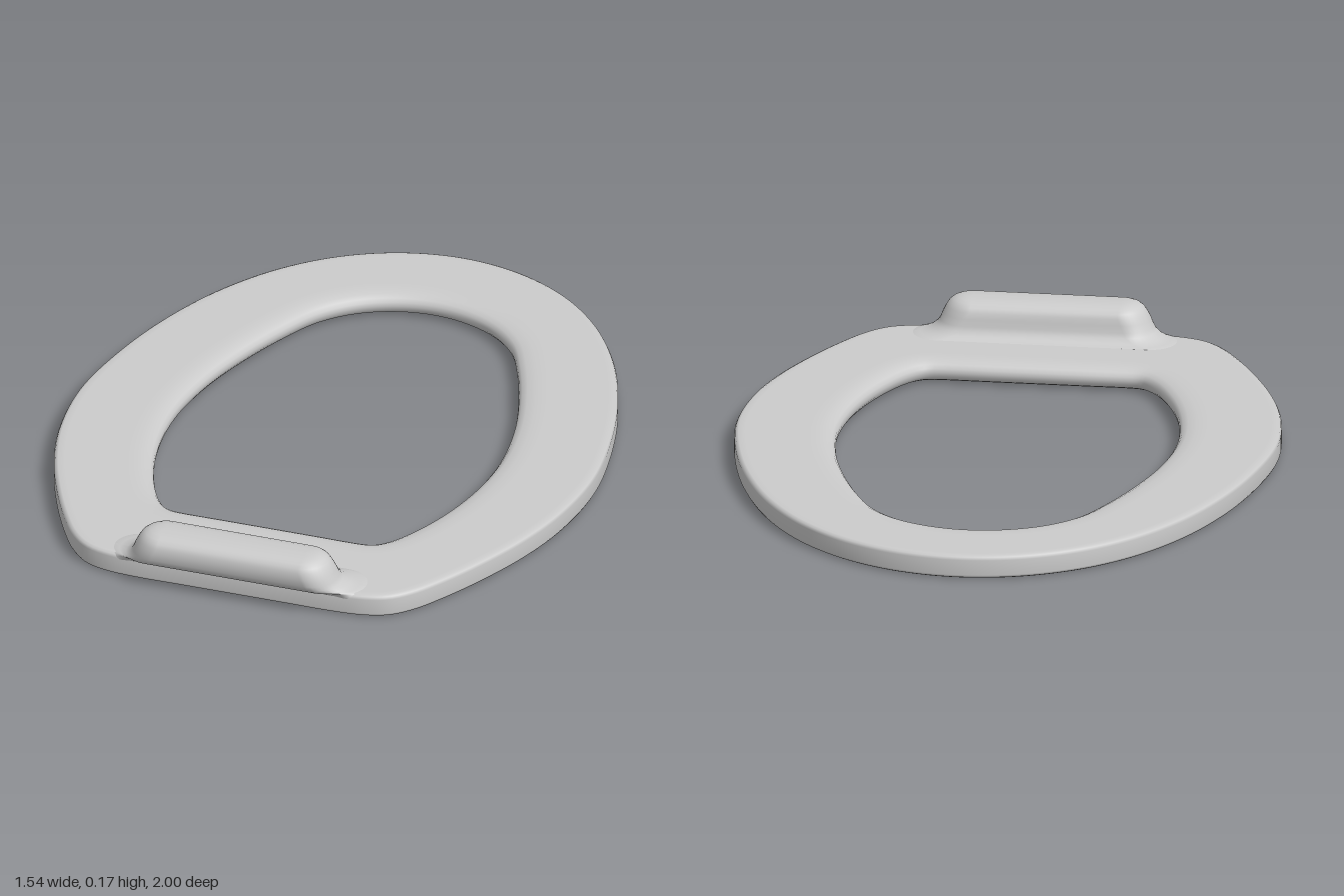
import * as THREE from 'three';

const N = 288;

// Closed smooth outline in the x/z plane from its +x half (back to front)
function outline(half) {
  const mirror = half.slice(1, -1).reverse().map(([x, z]) => [-x, z]);
  const pts = [...half, ...mirror].map(([x, z]) => new THREE.Vector3(x, 0, z));
  const curve = new THREE.CatmullRomCurve3(pts, true, 'centripetal');
  curve.arcLengthDivisions = 1000;
  return Array.from({ length: N }, (_, i) => {
    const p = curve.getPointAt(i / N), t = curve.getTangentAt(i / N);
    return { x: p.x, z: p.z, nx: t.z, nz: -t.x };
  });
}

// Skin a list of equal-length loops; optionally join the last loop to the first
function skin(loops, wrap) {
  const n = loops[0].length, rows = loops.length, index = [];
  for (let j = 0; j < (wrap ? rows : rows - 1); j++) {
    for (let i = 0; i < n; i++) {
      const k = (i + 1) % n, up = ((j + 1) % rows) * n, lo = j * n;
      index.push(lo + i, up + i, lo + k, lo + k, up + i, up + k);
    }
  }
  const geo = new THREE.BufferGeometry();
  geo.setAttribute('position', new THREE.Float32BufferAttribute(loops.flat(2), 3));
  geo.setIndex(index);
  geo.computeVertexNormals();
  return geo;
}

// Rounded rectangle loop at height y, half width w, from z0 to z1
function roundedLoop(y, w, z0, z1, r) {
  const loop = [], seg = 10, zc = (z0 + z1) / 2, d = (z1 - z0) / 2;
  const rr = Math.min(r, d);
  for (let c = 0; c < 4; c++) {
    const sx = c < 2 ? 1 : -1, sz = c === 0 || c === 3 ? -1 : 1;
    for (let i = 0; i <= seg; i++) {
      const a = -Math.PI / 2 + (c + i / seg) * Math.PI / 2;
      loop.push([sx * (w - rr) + rr * Math.cos(a), y, zc + sz * (d - rr) + rr * Math.sin(a)]);
    }
  }
  return loop;
}

export function createModel() {
  const group = new THREE.Group();
  const material = new THREE.MeshStandardMaterial({ color: 0xcccccc });
  const add = (name, geo) => {
    const mesh = new THREE.Mesh(geo, material);
    mesh.name = name;
    group.add(mesh);
  };

  const outer = outline([
    [0, -1], [0.17, -0.973], [0.33, -0.895], [0.47, -0.77], [0.59, -0.595], [0.68, -0.385],
    [0.74, -0.16], [0.77, 0.07], [0.752, 0.29], [0.705, 0.47], [0.635, 0.64], [0.565, 0.775],
    [0.51, 0.86], [0.455, 0.912], [0.39, 0.936], [0.3, 0.945], [0.15, 0.945], [0, 0.945],
  ]);
  const inner = outline([
    [0, -0.735], [0.1, -0.72], [0.2, -0.673], [0.285, -0.59], [0.345, -0.475], [0.405, -0.32],
    [0.455, -0.14], [0.48, 0.06], [0.468, 0.24], [0.425, 0.415], [0.36, 0.56], [0.32, 0.61],
    [0.3, 0.622], [0.27, 0.626], [0.14, 0.626], [0, 0.626],
  ]);

  // Seat ring: edge profiles as [inset from outline, height]
  const outerEdge = [[0.03, 0], [0.012, 0], [0.004, 0.004], [0, 0.011], [0, 0.055],
    [0.004, 0.063], [0.012, 0.067], [0.03, 0.067]];
  const innerEdge = [[0.08, 0.067], [0.05, 0.066], [0.025, 0.062], [0.01, 0.055], [0.002, 0.045],
    [0, 0.034], [0.002, 0.022], [0.01, 0.011], [0.025, 0.004], [0.05, 0.001], [0.08, 0]];
  const offset = (line, sign) => ([d, y]) =>
    line.map((p) => [p.x + sign * d * p.nx, y, p.z + sign * d * p.nz]);
  add('seatRing', skin([...outerEdge.map(offset(outer, -1)), ...innerEdge.map(offset(inner, 1))], true));

  // Hinge block flowing up from the ring: [height, half width, z start, z end]
  const layers = [
    [0.045, 0.42, 0.79, 0.94], [0.056, 0.4, 0.795, 0.945], [0.066, 0.385, 0.8, 0.95],
    [0.069, 0.355, 0.812, 0.962], [0.075, 0.33, 0.823, 0.981], [0.087, 0.312, 0.833, 0.993],
    [0.1, 0.303, 0.838, 0.998], [0.12, 0.295, 0.842, 1], [0.138, 0.286, 0.846, 0.997],
    [0.15, 0.278, 0.853, 0.991], [0.159, 0.267, 0.864, 0.98], [0.165, 0.253, 0.88, 0.964],
    [0.168, 0.235, 0.9, 0.944], [0.1685, 0.21, 0.922, 0.922],
  ];
  add('hingeBlock', skin(layers.map(([y, w, z0, z1]) => roundedLoop(y, w, z0, z1, 0.075)), false));

  return group;
}
